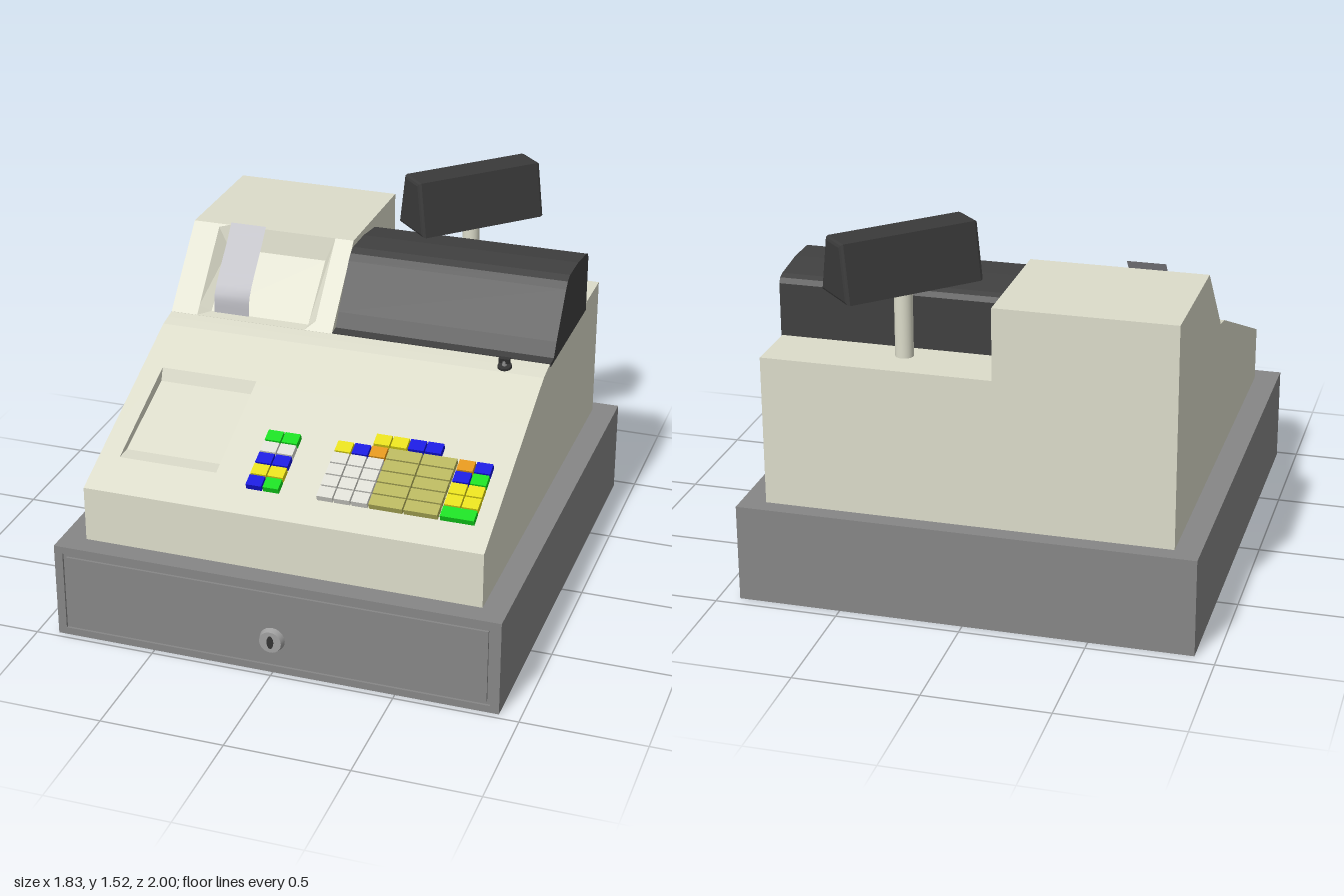
import * as THREE from 'three';

const mat = (color, extra = {}) => new THREE.MeshStandardMaterial({ color, ...extra });
const cream = mat(0xdcdcca);
const grey = mat(0x868686);
const black = mat(0x404040);
const steel = mat(0xa0a0a0);
const dark = mat(0x333333);

function add(parent, name, geometry, material, x = 0, y = 0, z = 0) {
  const mesh = new THREE.Mesh(geometry, material);
  mesh.name = name;
  mesh.position.set(x, y, z);
  parent.add(mesh);
  return mesh;
}

// Joins [z, y] side profiles placed at increasing x, with flat faces and closed ends.
function loft(stations) {
  const pos = [];
  const v = ([x, p], i) => new THREE.Vector3(x, p[i][1], p[i][0]);
  const tri = (a, b, c) => {
    const area = b.clone().sub(a).cross(c.clone().sub(a)).length();
    if (area > 1e-8) pos.push(...a.toArray(), ...b.toArray(), ...c.toArray());
  };
  const n = stations[0][1].length;
  for (let s = 0; s < stations.length - 1; s++) {
    const A = stations[s], B = stations[s + 1];
    for (let i = 0; i < n; i++) {
      const j = (i + 1) % n;
      tri(v(A, i), v(B, i), v(B, j));
      tri(v(A, i), v(B, j), v(A, j));
    }
  }
  const first = stations[0], last = stations[stations.length - 1];
  for (const [S, flip] of [[first, false], [last, true]]) {
    const outline = S[1].map(([z, y]) => new THREE.Vector2(z, y));
    for (const [a, b, c] of THREE.ShapeUtils.triangulateShape(outline, [])) {
      if (flip) tri(v(S, a), v(S, c), v(S, b));
      else tri(v(S, a), v(S, b), v(S, c));
    }
  }
  const g = new THREE.BufferGeometry();
  g.setAttribute('position', new THREE.Float32BufferAttribute(pos, 3));
  g.computeVertexNormals();
  return g;
}

const SLOPE = 0.418;
const slopeY = (z) => 0.63 + (0.885 - z) * SLOPE;

function cashDrawer() {
  const g = new THREE.Group();
  g.name = 'cashDrawer';
  add(g, 'drawerCase', new THREE.BoxGeometry(1.83, 0.4, 1.92), grey, 0, 0.2, 0.005);
  // raised rim and front panel leave a groove between them
  const rim = new THREE.Shape([[-0.915, 0], [0.915, 0], [0.915, 0.4], [-0.915, 0.4]].map((p) => new THREE.Vector2(...p)));
  rim.holes.push(new THREE.Path([[-0.88, 0.03], [-0.88, 0.37], [0.88, 0.37], [0.88, 0.03]].map((p) => new THREE.Vector2(...p))));
  add(g, 'drawerRim', new THREE.ExtrudeGeometry(rim, { depth: 0.01, bevelEnabled: false }), grey, 0, 0, 0.965);
  add(g, 'drawerPanel', new THREE.BoxGeometry(1.73, 0.31, 0.01), grey, 0, 0.2, 0.97);
  // lock with keyhole
  const lock = add(g, 'drawerLock', new THREE.CylinderGeometry(0.045, 0.052, 0.025, 32), steel, 0, 0.15, 0.9875);
  lock.rotation.x = Math.PI / 2;
  const hole = add(g, 'keyhole', new THREE.CylinderGeometry(0.014, 0.014, 0.004, 20), dark, 0, 0.15, 0.999);
  hole.rotation.x = Math.PI / 2;
  hole.scale.z = 2;
  return g;
}

function bodyShell() {
  const rear = [[0.05, slopeY(0.05)], [0, 0.989], [-0.04, 0.996], [-0.3, 1.01], [-0.885, 1.01], [-0.885, 0.4]];
  const front = [[0.885, 0.4], [0.885, 0.63]];
  const plain = [...front, ...[0.72, 0.65, 0.285, 0.268].map((z) => [z, slopeY(z)]), ...rear];
  const pocket = [...front, [0.72, slopeY(0.72)], [0.65, 0.7], [0.285, 0.835], [0.268, slopeY(0.268)], ...rear];
  return loft([[-0.815, plain], [-0.73, plain], [-0.73, pocket], [-0.32, pocket], [-0.32, plain], [0.815, plain]]);
}

function printerHousing() {
  const back = [[-0.885, 1.3], [-0.885, 0.95], [-0.04, 0.95]];
  const outer = [[-0.04, 0.997], [-0.07, 1.03], [-0.31, 1.289], [-0.32, 1.3], ...back];
  const inner = [[-0.04, 0.997], [-0.09, 1.0], [-0.305, 1.2], [-0.32, 1.3], ...back];
  return loft([[-0.815, outer], [-0.7, outer], [-0.655, inner], [-0.225, inner], [-0.185, outer], [-0.105, outer]]);
}

// Curled strip of paper leaving the printer
function paperStrip() {
  const curve = new THREE.CatmullRomCurve3([[-0.085, 1.0], [-0.095, 1.08], [-0.175, 1.18], [-0.25, 1.26], [-0.3, 1.32]]
    .map(([z, y]) => new THREE.Vector3(0, y, z)));
  const g = new THREE.PlaneGeometry(0.155, 1, 1, 12);
  const p = g.attributes.position;
  for (let i = 0; i < p.count; i++) {
    const q = curve.getPoint(p.getY(i) + 0.5);
    p.setXYZ(i, p.getX(i), q.y, q.z);
  }
  g.computeVertexNormals();
  return g;
}

// Customer display: a tapered bar turned on a post
function customerDisplay() {
  const g = new THREE.Group();
  g.name = 'customerDisplay';
  g.position.set(0.287, 0, -0.72);
  add(g, 'displayPost', new THREE.CylinderGeometry(0.036, 0.036, 0.31, 24), cream, 0, 1.155, 0);
  const b = 0.014;
  const end = new THREE.Shape([[-0.095, 1.31], [0.095, 1.31], [0.053, 1.51], [-0.053, 1.51]].map((p) => new THREE.Vector2(...p)));
  const bar = new THREE.ExtrudeGeometry(end, { depth: 0.552, bevelThickness: b, bevelSize: b, bevelSegments: 2 });
  bar.translate(0, 0, -0.276);
  add(g, 'displayHead', bar, mat(0x3a3a3a)).rotation.y = -Math.PI / 4;
  return g;
}

function keyboard() {
  const g = new THREE.Group();
  g.name = 'keyboard';
  const colors = {
    Y: mat(0xe4dc14), B: mat(0x1212dc), G: mat(0x12dc1c), O: mat(0xe09414),
    w: mat(0xdcdcd4), o: mat(0xb6b45c),
  };
  const pitch = 0.07, rowPitch = 0.054, gap = 0.006, lift = 0.012;
  const key = (code, x, z, cols) => {
    const geo = new THREE.BoxGeometry(cols * pitch - gap, 0.03, (rowPitch - gap) / Math.cos(Math.atan(SLOPE)));
    const m = add(g, 'key', geo, colors[code], x + cols * pitch / 2, slopeY(z) + lift, z);
    m.rotation.x = Math.atan(SLOPE);
  };
  // each block: left x, first row z, key width in columns, rows of colour codes
  const blocks = [
    [-0.178, 0.533, 1, ['GG', 'ww', 'BB', 'YY', 'BG']],
    [0.112, 0.533, 1, ['YBO', 'www', 'www', 'www', 'www']],
    [0.322, 0.533, 2, ['oo', 'oo', 'oo', 'oo', 'oo']],
    [0.606, 0.533, 1, ['OB', 'BG', 'YY', 'YY']],
    [0.606, 0.749, 2, ['G']],
    [0.252, 0.475, 1, ['YYBB']],
  ];
  for (const [x, z, cols, rows] of blocks) {
    rows.forEach((row, r) => [...row].forEach((c, i) => key(c, x + i * cols * pitch, z + r * rowPitch, cols)));
  }
  return g;
}

function keySwitch() {
  const g = new THREE.Group();
  g.name = 'keySwitch';
  g.position.set(0.645, 0.985, 0.015);
  g.rotation.x = 0.25;
  add(g, 'switchCollar', new THREE.CylinderGeometry(0.028, 0.03, 0.014, 20), dark, 0, 0.005, 0);
  add(g, 'switchStem', new THREE.CylinderGeometry(0.01, 0.01, 0.03, 12), steel, 0, 0.02, 0);
  add(g, 'switchGrip', new THREE.BoxGeometry(0.045, 0.022, 0.016), dark, 0, 0.036, 0);
  return g;
}

export function createModel() {
  const model = new THREE.Group();
  model.name = 'cashRegister';
  model.add(cashDrawer());
  add(model, 'body', bodyShell(), cream);
  add(model, 'printerHousing', printerHousing(), cream);
  add(model, 'paperStrip', paperStrip(), mat(0xb8b8be, { side: THREE.DoubleSide }), -0.563);

  // dark operator panel with a low lip along its front
  const hood = [[-0.045, 0.985], [-0.045, 1.0], [-0.09, 1.004], [-0.125, 1.06], [-0.255, 1.235], [-0.28, 1.26],
    [-0.315, 1.275], [-0.45, 1.275], [-0.6, 1.255], [-0.625, 1.245], [-0.637, 1.225], [-0.637, 0.985]];
  add(model, 'operatorPanel', loft([[-0.105, hood], [0.819, hood]]), black);

  model.add(customerDisplay(), keyboard(), keySwitch());
  return model;
}
